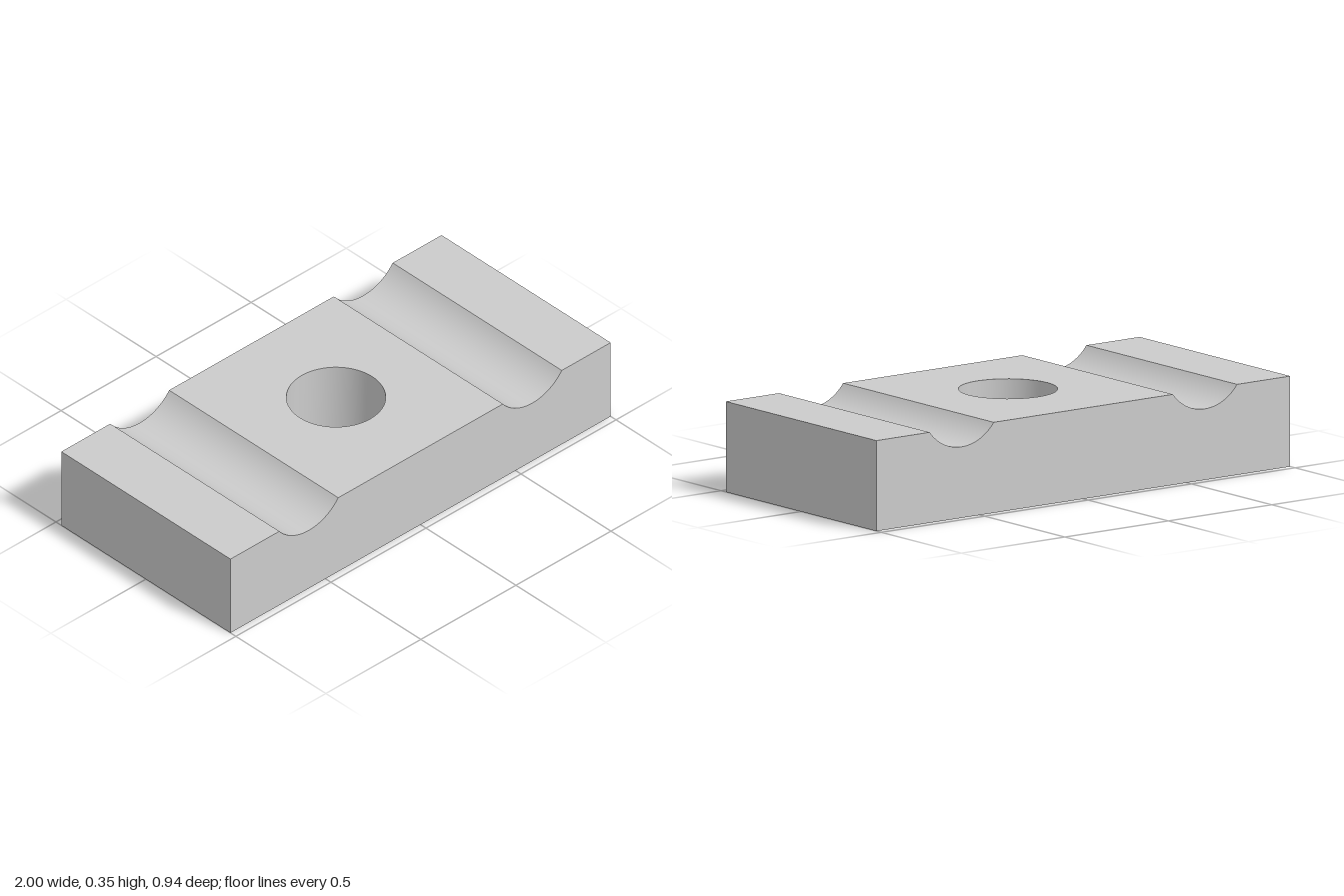
import * as THREE from 'three';
import { mergeGeometries, toCreasedNormals } from 'three/addons/utils/BufferGeometryUtils.js';

const H = 0.353, D = 0.94;            // block height and depth (length is 2)
const GX = 0.588, GW = 0.155;         // groove centre and half width
const GR = 0.196, GY = 0.473;         // groove radius and axis height
const BORE = 0.19;

// Side profile of the block with two round grooves in the top
function blockProfile() {
  const a = Math.atan2(GY - H, GW);
  const s = new THREE.Shape();
  s.moveTo(-1, 0);
  s.lineTo(1, 0);
  s.lineTo(1, H);
  for (const x of [GX, -GX]) {
    s.lineTo(x + GW, H);
    s.absarc(x, GY, GR, -a, a - Math.PI, true);
  }
  s.lineTo(-1, H);
  s.closePath();
  return s;
}

// Flat rectangle with the round bore cut out
function drilledFace(halfX) {
  const z = D / 2;
  const s = new THREE.Shape([[-halfX, -z], [halfX, -z], [halfX, z], [-halfX, z]].map(p => new THREE.Vector2(...p)));
  s.holes.push(new THREE.Path().absarc(0, 0, BORE, 0, Math.PI * 2, true));
  return new THREE.ShapeGeometry(s, 32);
}

// Keep only the triangles that pass the test
function filterTriangles(geometry, keep) {
  const p = geometry.attributes.position, out = [];
  for (let i = 0; i < p.count; i += 3) {
    const tri = [0, 1, 2].map(k => new THREE.Vector3().fromBufferAttribute(p, i + k));
    if (keep(tri)) tri.forEach(v => out.push(v.x, v.y, v.z));
  }
  return new THREE.BufferGeometry().setAttribute('position', new THREE.Float32BufferAttribute(out, 3));
}

export function createModel() {
  const group = new THREE.Group();
  group.name = 'groovedBlock';
  const inner = GX - GW, eps = 1e-4;

  // Grooved body, left open where the drilled faces go
  const body = new THREE.ExtrudeGeometry(blockProfile(), { depth: D, bevelEnabled: false, curveSegments: 16 });
  body.translate(0, 0, -D / 2);
  const isBottom = t => t.every(v => v.y < eps);
  const isMiddleTop = t => t.every(v => v.y > H - eps && Math.abs(v.x) < inner + eps);
  const shell = filterTriangles(body, t => !isBottom(t) && !isMiddleTop(t));

  // Drilled top and bottom, and the inward-facing bore wall
  const top = drilledFace(inner).rotateX(-Math.PI / 2).translate(0, H, 0);
  const bottom = drilledFace(1).rotateX(Math.PI / 2);
  const bore = new THREE.CylinderGeometry(BORE, BORE, H, 64, 1, true).translate(0, H / 2, 0);
  bore.scale(-1, 1, 1);
  // mirroring keeps the winding order, so the wall now faces the axis

  const parts = [top, bottom, bore].map(g => filterTriangles(g.toNonIndexed(), () => true));
  const geometry = toCreasedNormals(mergeGeometries([shell, ...parts]), Math.PI / 6);
  const mesh = new THREE.Mesh(geometry, new THREE.MeshStandardMaterial({ color: 0xcccccc }));
  mesh.name = 'block';
  group.add(mesh);
  return group;
}
